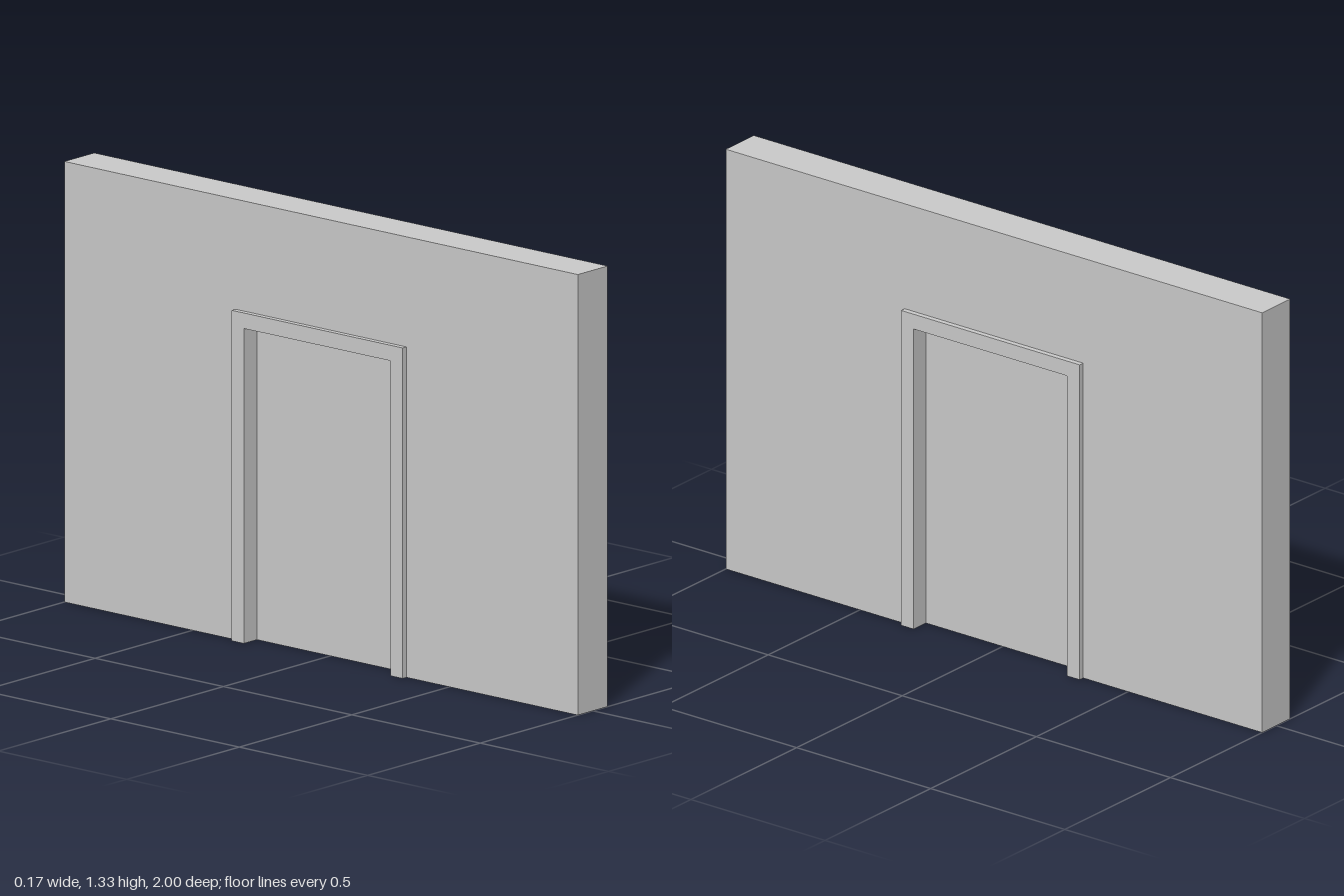
import * as THREE from 'three';

const material = new THREE.MeshStandardMaterial({ color: 0xcccccc, flatShading: true });

// An upside-down U: a slab with an opening that reaches the floor, centred on x = 0
function archway(name, halfWidth, height, halfOpening, openingHeight, thickness) {
  const shape = new THREE.Shape([
    [-halfWidth, 0], [-halfOpening, 0], [-halfOpening, openingHeight], [halfOpening, openingHeight],
    [halfOpening, 0], [halfWidth, 0], [halfWidth, height], [-halfWidth, height],
  ].map(([x, y]) => new THREE.Vector2(x, y)));
  const geometry = new THREE.ExtrudeGeometry(shape, { depth: thickness, bevelEnabled: false });
  geometry.translate(0, 0, -thickness / 2).rotateY(Math.PI / 2);
  const mesh = new THREE.Mesh(geometry, material);
  mesh.name = name;
  return mesh;
}

export function createModel() {
  const group = new THREE.Group();
  group.name = 'wallWithDoor';

  const frameHalf = 0.333, frameTop = 1.0;
  const doorHalf = 0.286, doorTop = 0.953;

  // Wall running along z, and the frame standing slightly proud of both faces
  group.add(archway('wall', 1, 1.333, frameHalf, frameTop, 0.133));
  group.add(archway('doorFrame', frameHalf, frameTop, doorHalf, doorTop, 0.167));

  // Plain door leaf, recessed from both sides
  const door = new THREE.Mesh(new THREE.BoxGeometry(0.05, doorTop, doorHalf * 2), material);
  door.name = 'door';
  door.position.y = doorTop / 2;
  group.add(door);

  return group;
}
